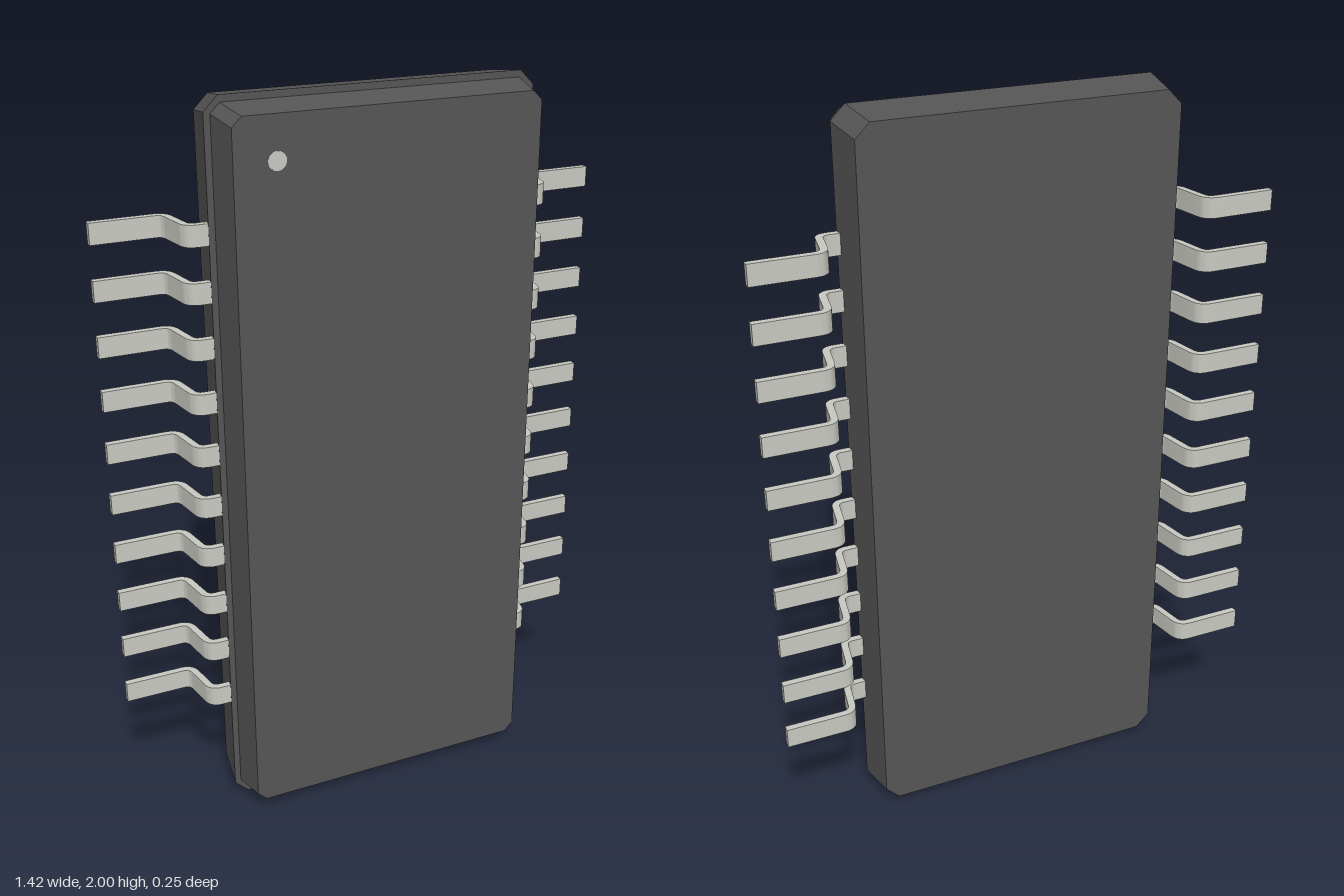
import * as THREE from 'three';
import { toCreasedNormals } from 'three/addons/utils/BufferGeometryUtils.js';

const bodyMat = new THREE.MeshStandardMaterial({ color: 0x555555 });
const metalMat = new THREE.MeshStandardMaterial({ color: 0xc9c9c2 });

// Octagonal slab from z0 to z1, with the end at taperZ pulled in on all sides
function bodyHalf(name, hw, hh, c, z0, z1, taperZ, inset) {
  const shape = new THREE.Shape([
    [hw - c, -hh], [hw, -hh + c], [hw, hh - c], [hw - c, hh],
    [-hw + c, hh], [-hw, hh - c], [-hw, -hh + c], [-hw + c, -hh],
  ].map(([x, y]) => new THREE.Vector2(x, y)));
  const geo = new THREE.ExtrudeGeometry(shape, { depth: z1 - z0, bevelEnabled: false });
  geo.translate(0, 0, z0);
  const p = geo.attributes.position;
  for (let i = 0; i < p.count; i++) {
    if (Math.abs(p.getZ(i) - taperZ) > 1e-4) continue;
    p.setX(i, p.getX(i) - Math.sign(p.getX(i)) * inset);
    p.setY(i, p.getY(i) - Math.sign(p.getY(i)) * inset);
  }
  geo.computeVertexNormals();
  const mesh = new THREE.Mesh(geo, bodyMat);
  mesh.name = name;
  mesh.position.y = 1;
  return mesh;
}

// Bent strip: centre line thickened to both sides, extruded upwards
function pinGeometry(side, thickness, height) {
  const line = new THREE.Path();
  line.moveTo(0.41, -0.009);
  line.lineTo(0.472, -0.009);
  line.quadraticCurveTo(0.499, -0.009, 0.502, 0.018);
  line.lineTo(0.514, 0.09);
  line.quadraticCurveTo(0.519, 0.116, 0.545, 0.116);
  line.lineTo(0.71, 0.116);
  const pts = line.getPoints(8);
  const upper = [], lower = [];
  pts.forEach((p, i) => {
    const a = pts[Math.max(i - 1, 0)], b = pts[Math.min(i + 1, pts.length - 1)];
    const t = b.clone().sub(a).normalize().multiplyScalar(thickness / 2);
    upper.push(new THREE.Vector2(side * (p.x - t.y), p.y + t.x));
    lower.unshift(new THREE.Vector2(side * (p.x + t.y), p.y - t.x));
  });
  const geo = new THREE.ExtrudeGeometry(new THREE.Shape([...upper, ...lower]), { depth: height, bevelEnabled: false });
  geo.translate(0, 0, -height / 2);
  geo.rotateX(-Math.PI / 2);
  return toCreasedNormals(geo, 0.6);
}

export function createModel() {
  const model = new THREE.Group();
  model.name = 'chipPackage';

  // Two tapered halves of the casing, the front one slightly smaller
  model.add(bodyHalf('backCasing', 0.447, 1, 0.038, -0.105, 0.02, -0.105, 0.017));
  model.add(bodyHalf('frontCasing', 0.43, 0.982, 0.025, 0.02, 0.122, 0.122, 0.016));

  // Marker dot in the upper corner of the front
  const dot = new THREE.Mesh(new THREE.CylinderGeometry(0.024, 0.024, 0.004, 32), metalMat);
  dot.name = 'markerDot';
  dot.rotation.x = Math.PI / 2;
  dot.position.set(-0.303, 1.855, 0.1212);
  model.add(dot);

  // Ten pins on each side
  for (const side of [1, -1]) {
    const row = new THREE.Group();
    row.name = side > 0 ? 'leftPins' : 'rightPins';
    const geo = pinGeometry(side, 0.02, 0.056);
    for (let i = 0; i < 10; i++) {
      const pin = new THREE.Mesh(geo, metalMat);
      pin.name = 'pin' + (i + 1);
      pin.position.y = 0.344 + i * 0.147;
      row.add(pin);
    }
    model.add(row);
  }
  return model;
}
